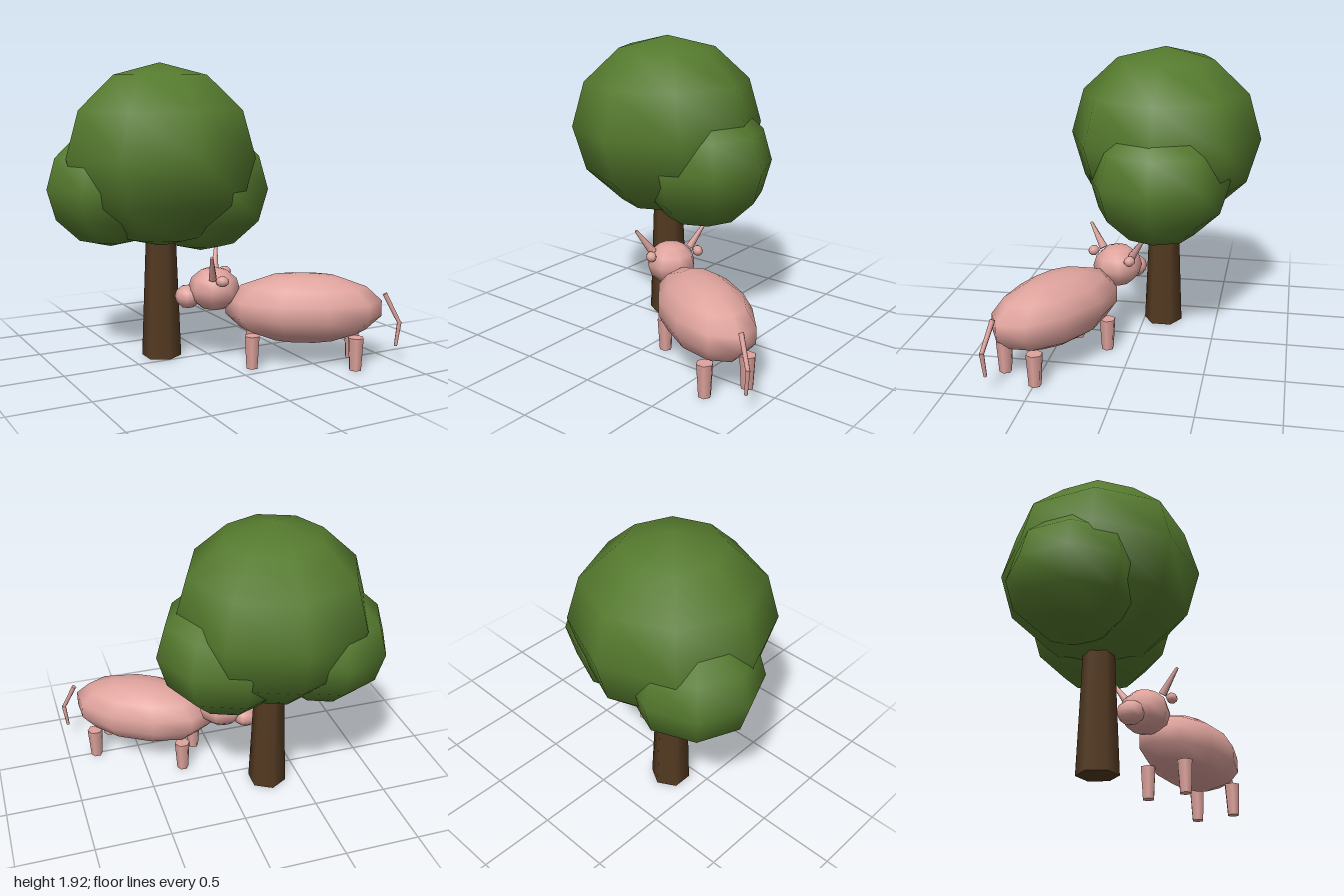
import * as THREE from 'three';

const material = (name, color) => {
  const m = new THREE.MeshStandardMaterial({ color });
  m.name = name;
  return m;
};

export function createModel() {
  const leaf = material('leafGreen', 0x557a2e);
  const bark = material('barkBrown', 0x543a22);
  const hide = material('hidePink', 0xdfa39d);

  const add = (parent, name, geometry, mat, x, y, z) => {
    const mesh = new THREE.Mesh(geometry, mat);
    mesh.name = name;
    mesh.position.set(x, y, z);
    parent.add(mesh);
    return mesh;
  };

  // Sphere stretched to three radii
  const blob = (parent, name, mat, [x, y, z], [rx, ry, rz], w, h) => {
    const g = new THREE.SphereGeometry(1, w, h);
    g.scale(rx, ry, rz);
    return add(parent, name, g, mat, x, y, z);
  };

  // Tapered rod between two points
  const rod = (parent, name, mat, from, to, r0, r1, sides) => {
    const a = new THREE.Vector3(...from);
    const b = new THREE.Vector3(...to);
    const dir = b.clone().sub(a);
    const mid = a.clone().add(b).multiplyScalar(0.5);
    const g = new THREE.CylinderGeometry(r1, r0, dir.length(), sides);
    const mesh = add(parent, name, g, mat, mid.x, mid.y, mid.z);
    mesh.quaternion.setFromUnitVectors(new THREE.Vector3(0, 1, 0), dir.normalize());
    return mesh;
  };

  const model = new THREE.Group();
  model.name = 'cowUnderTree';

  // Tree: hexagonal trunk and three overlapping crowns
  const tree = new THREE.Group();
  tree.name = 'tree';
  model.add(tree);
  add(tree, 'trunk', new THREE.CylinderGeometry(0.09, 0.13, 1, 6), bark, -0.28, 0.5, -0.13);
  const crowns = [
    ['mainCrown', [-0.28, 1.325, -0.13], 0.635],
    ['leftCrown', [0.013, 1.107, -0.135], 0.46],
    ['rightCrown', [-0.58, 1.127, -0.26], 0.42],
  ];
  for (const [name, centre, r] of crowns) {
    blob(tree, name, leaf, centre, [r, r * 0.93, r], 8, 6);
  }

  // Cow: built along local x with the head at -x, then turned
  const cow = new THREE.Group();
  cow.name = 'cow';
  cow.position.set(0.457, 0, 0.4425);
  cow.rotation.y = THREE.MathUtils.degToRad(-31);
  model.add(cow);

  blob(cow, 'body', hide, [0, 0.365, 0], [0.51, 0.226, 0.26], 10, 7);
  blob(cow, 'head', hide, [-0.574, 0.48, 0], [0.168, 0.14, 0.16], 8, 6);
  blob(cow, 'snout', hide, [-0.742, 0.425, 0], [0.085, 0.076, 0.09], 8, 6);

  for (const side of [-1, 1]) {
    blob(cow, 'ear', hide, [-0.512, 0.56, side * 0.16], [0.042, 0.034, 0.034], 8, 6);
    rod(cow, 'horn', hide, [-0.574, 0.57, side * 0.128], [-0.574, 0.727, side * 0.24], 0.028, 0.01, 6);
    for (const x of [-0.324, 0.324]) {
      add(cow, 'leg', new THREE.CylinderGeometry(0.053, 0.04, 0.21, 6), hide, x, 0.105, side * 0.135);
    }
  }

  // Two-part tail
  rod(cow, 'tailTop', hide, [0.515, 0.46, 0], [0.612, 0.27, 0], 0.017, 0.014, 6);
  rod(cow, 'tailEnd', hide, [0.612, 0.28, 0], [0.592, 0.12, 0], 0.015, 0.011, 6);

  return model;
}
